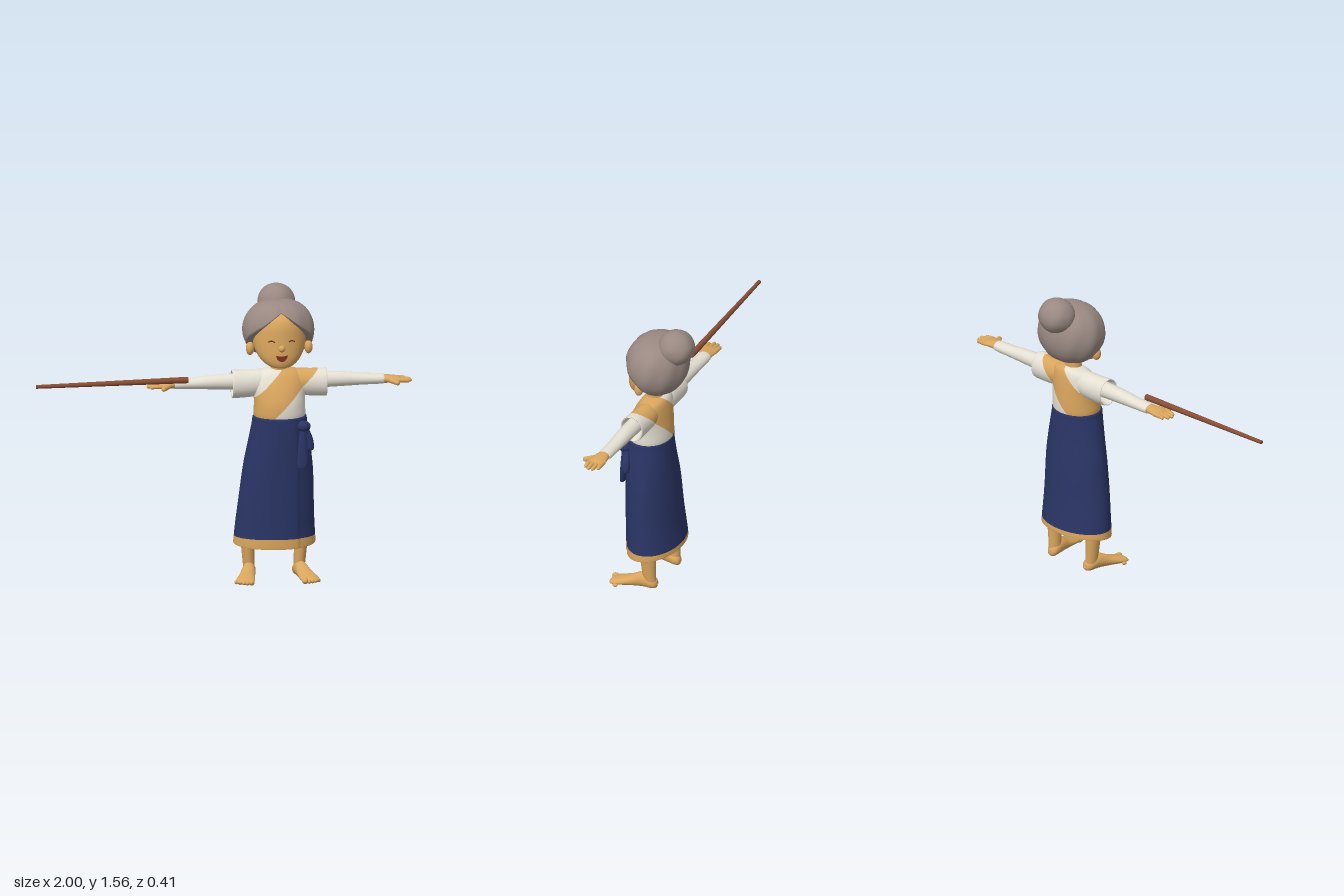
import * as THREE from 'three';

const mat = (name, color) => Object.assign(new THREE.MeshStandardMaterial({ color }), { name });

// Smooth skin over elliptical rings [t, a, b, ra, rb] stacked along an axis.
function loft(rows, axis, { segs = 32, sub = 4, mod } = {}) {
  const fine = [], n = rows.length;
  for (let i = 0; i < n - 1; i++) {
    const [p, q, r, s] = [rows[Math.max(i - 1, 0)], rows[i], rows[i + 1], rows[Math.min(i + 2, n - 1)]];
    for (let k = 0; k < sub; k++) {
      const t = k / sub;
      fine.push(q.map((v, c) => v + 0.5 * t * (r[c] - p[c] + t * (2 * p[c] - 5 * v + 4 * r[c] - s[c]
        + t * (3 * (v - r[c]) + s[c] - p[c])))));
    }
  }
  fine.push(rows[n - 1]);
  const pos = [], index = [];
  fine.forEach(([t, a, b, ra, rb], i) => {
    for (let j = 0; j < segs; j++) {
      const ang = j / segs * Math.PI * 2, m = mod ? mod(ang, t) : 1;
      const u = a + Math.max(ra, 0.0005) * m * Math.cos(ang), v = b + Math.max(rb, 0.0005) * m * Math.sin(ang);
      pos.push(...(axis === 'y' ? [u, t, v] : axis === 'x' ? [t, u, v] : [u, v, t]));
      if (i === fine.length - 1) continue;
      const A = i * segs + j, B = i * segs + (j + 1) % segs, C = A + segs, D = B + segs;
      index.push(...(axis === 'y' ? [A, D, B, A, C, D] : [A, B, D, A, D, C]));
    }
  });
  return build(pos, index);
}

function build(pos, index) {
  const g = new THREE.BufferGeometry();
  g.setAttribute('position', new THREE.Float32BufferAttribute(pos, 3));
  g.setIndex(index);
  g.computeVertexNormals();
  return g;
}

// Cuts a geometry with the plane n.p = c and returns [below, above].
function split(geo, n, c) {
  const g = geo.index ? geo.toNonIndexed() : geo, P = g.attributes.position, N = g.attributes.normal;
  return [-1, 1].map((side) => {
    const pos = [], nor = [];
    for (let i = 0; i < P.count; i += 3) {
      const tri = [0, 1, 2].map((k) => {
        const p = new THREE.Vector3().fromBufferAttribute(P, i + k);
        return { p, n: new THREE.Vector3().fromBufferAttribute(N, i + k), d: side * (p.dot(n) - c) };
      });
      const poly = [];
      tri.forEach((a, k) => {
        const b = tri[(k + 1) % 3];
        if (a.d >= 0) poly.push(a);
        if ((a.d >= 0) !== (b.d >= 0)) {
          const t = a.d / (a.d - b.d);
          poly.push({ p: a.p.clone().lerp(b.p, t), n: a.n.clone().lerp(b.n, t) });
        }
      });
      for (let k = 1; k < poly.length - 1; k++)
        for (const v of [poly[0], poly[k], poly[k + 1]]) { pos.push(...v.p); nor.push(...v.n); }
    }
    const out = new THREE.BufferGeometry();
    out.setAttribute('position', new THREE.Float32BufferAttribute(pos, 3));
    out.setAttribute('normal', new THREE.Float32BufferAttribute(nor, 3));
    return out;
  });
}

// Mirrored copy across x = 0 with its winding put right.
function mirror(geo) {
  const g = geo.clone().scale(-1, 1, 1), ix = g.index.array;
  for (let i = 0; i < ix.length; i += 3) [ix[i], ix[i + 1]] = [ix[i + 1], ix[i]];
  return g;
}

function rod(a, b, r0, r1, round) {
  const A = new THREE.Vector3(...a), B = new THREE.Vector3(...b), dir = B.clone().sub(A), len = dir.length();
  const g = round ? new THREE.CapsuleGeometry(r0, len, 6, 14) : new THREE.CylinderGeometry(r1, r0, len, 14);
  g.applyQuaternion(new THREE.Quaternion().setFromUnitVectors(new THREE.Vector3(0, 1, 0), dir.normalize()));
  return g.translate(...A.add(B).multiplyScalar(0.5));
}

const ball = (x, y, z, rx, ry, rz) => new THREE.SphereGeometry(1, 28, 18).scale(rx, ry, rz).translate(x, y, z);

// Hair dome whose lower edge follows a hairline: [degrees from front, height].
function hairDome() {
  const line = [[0, 1.452], [12, 1.43], [30, 1.385], [60, 1.32], [78, 1.275], [100, 1.22], [125, 1.19], [181, 1.186]];
  const segs = 72, rows = 18, pos = [], index = [];
  for (let i = 0; i <= rows + 1; i++) for (let j = 0; j < segs; j++) {
    const az = (j / segs * 2 - 1) * Math.PI, deg = Math.abs(az) * 180 / Math.PI;
    const k = line.findIndex((l) => l[0] > deg), [d0, y0] = line[k - 1], [d1, y1] = line[k];
    const low = y0 + (y1 - y0) * (deg - d0) / (d1 - d0);
    const th = Math.acos((low - 1.34) / 0.16) * Math.min(i / rows, 1);
    let r = Math.pow(Math.sin(th), 0.75) * (1 + 0.012 * Math.sin(az * 9 + th * 3));
    r *= 1 - 0.06 * Math.exp(-((az / 0.12) ** 2));
    if (i > rows) r *= 0.75;
    pos.push(0.19 * r * Math.sin(az), 1.34 + 0.16 * Math.cos(th), (Math.cos(az) > 0 ? 0.168 : 0.16) * r * Math.cos(az));
    if (i > rows) continue;
    const A = i * segs + j, B = i * segs + (j + 1) % segs;
    index.push(A, A + segs, B + segs, A, B + segs, B);
  }
  return build(pos, index);
}

export function createModel() {
  const skin = mat('skin and sash tan', 0xd9a55d), white = mat('blouse white', 0xe4dfd2), navy = mat('skirt navy', 0x2a3565);
  const grey = mat('hair grey', 0x9a8982), wood = mat('stick wood', 0x884d34);
  const red = mat('mouth red', 0x7d3022), dark = mat('eye brown', 0x5a3a20);
  const model = new THREE.Group(), upper = new THREE.Group(), feet = new THREE.Group();
  upper.name = 'upperBody'; upper.position.x = 0.297;
  feet.name = 'legs'; feet.position.x = 0.274;
  model.add(upper, feet);
  const add = (parent, name, geo, m) => {
    const mesh = new THREE.Mesh(geo, m);
    mesh.name = name;
    parent.add(mesh);
  };
  const pair = (parent, name, geo, m) => {
    add(parent, name + 'Left', geo, m);
    add(parent, name + 'Right', mirror(geo), m);
  };

  // Head and face
  add(upper, 'head', loft([[1.155, 0, 0.105, 0.001, 0.001], [1.159, 0, 0.105, 0.04, 0.035], [1.175, 0, 0.09, 0.077, 0.062],
    [1.21, 0, 0.062, 0.112, 0.095], [1.26, 0, 0.03, 0.135, 0.125], [1.32, 0, 0.01, 0.144, 0.14], [1.38, 0, 0, 0.138, 0.142],
    [1.43, 0, 0, 0.11, 0.113], [1.475, 0, 0, 0.03, 0.03]], 'y', { segs: 48 }), skin);
  add(upper, 'neck', loft([[1.085, 0, 0.028, 0.06, 0.055], [1.13, 0, 0.02, 0.045, 0.042], [1.24, 0, 0.02, 0.04, 0.04]], 'y'), skin);
  add(upper, 'nose', ball(0, 1.268, 0.153, 0.018, 0.018, 0.021), skin);
  pair(upper, 'ear', ball(0.155, 1.248, 0.033, 0.022, 0.036, 0.024), skin);
  const lid = new THREE.CatmullRomCurve3([[0.036, 1.302, 0.147], [0.053, 1.309, 0.142], [0.07, 1.302, 0.134]].map((p) => new THREE.Vector3(...p)));
  pair(upper, 'closedEye', new THREE.TubeGeometry(lid, 10, 0.0035, 6), dark);
  const grin = new THREE.Shape();
  grin.moveTo(-0.031, 1.232);
  grin.quadraticCurveTo(0, 1.224, 0.031, 1.232);
  grin.bezierCurveTo(0.026, 1.188, -0.026, 1.188, -0.031, 1.232);
  add(upper, 'mouth', new THREE.ExtrudeGeometry(grin, { depth: 0.009, bevelEnabled: false }).translate(0, 0, 0.1505), red);

  // Hair and bun
  add(upper, 'hair', hairDome(), grey);
  add(upper, 'bun', loft([0, 20, 45, 70, 90, 110, 135, 160, 180].map((d) => {
    const t = d * Math.PI / 180, s = Math.sin(t);
    return [1.468 - 0.095 * Math.cos(t), 0, -0.108, 0.099 * s, 0.097 * s];
  }), 'y', { segs: 40, mod: (a, t) => 1 + 0.014 * Math.sin(5 * a + 30 * t) }), grey);

  // Blouse: the sash is the diagonal strip between two cutting planes
  const slant = new THREE.Vector3(1, -1, 0), off = 0.297;
  const banded = (name, geo) => {
    const [rest, below] = split(geo, slant, -0.626 - off), [above, sash] = split(rest, slant, -0.824 - off);
    add(upper, name + 'LeftSide', below, white);
    add(upper, name + 'RightSide', above, white);
    add(upper, name + 'Sash', sash, skin);
  };
  banded('blouse', loft([[0.87, 0, 0.042, 0.133, 0.112], [0.9, 0, 0.042, 0.137, 0.116], [0.95, 0, 0.041, 0.135, 0.114],
    [1, 0, 0.036, 0.136, 0.105], [1.05, 0, 0.028, 0.14, 0.092], [1.1, 0, 0.018, 0.13, 0.074], [1.128, 0, 0.012, 0.095, 0.055],
    [1.14, 0, 0.012, 0.03, 0.03]], 'y', { segs: 48 }));
  const sleeve = loft([[0.03, 1.07, 0.015, 0.05, 0.05], [0.1, 1.06, 0.016, 0.07, 0.062], [0.17, 1.055, 0.02, 0.073, 0.064],
    [0.244, 1.055, 0.024, 0.075, 0.066], [0.247, 1.055, 0.024, 0.07, 0.061], [0.24, 1.055, 0.024, 0.066, 0.057],
    [0.16, 1.06, 0.02, 0.04, 0.04]], 'x', { sub: 3 });
  banded('leftSleeve', sleeve);
  add(upper, 'rightSleeve', mirror(sleeve), white);

  // Arms and hands
  pair(upper, 'arm', loft([[0.14, 1.066, 0.02, 0.045, 0.044], [0.25, 1.067, 0.021, 0.042, 0.043], [0.35, 1.067, 0.021, 0.038, 0.041],
    [0.45, 1.064, 0.021, 0.031, 0.038], [0.548, 1.063, 0.022, 0.027, 0.037], [0.551, 1.063, 0.022, 0.02, 0.028]], 'x'), white);
  pair(upper, 'palm', loft([[0.53, 1.063, 0.022, 0.022, 0.03], [0.56, 1.063, 0.025, 0.023, 0.034], [0.6, 1.062, 0.03, 0.019, 0.045],
    [0.635, 1.06, 0.031, 0.015, 0.046], [0.65, 1.058, 0.031, 0.004, 0.03]], 'x'), skin);
  [0.682, 0.7, 0.704, 0.69].forEach((tip, i) => {
    const z = -0.004 + 0.023 * i;
    pair(upper, 'finger' + (i + 1), loft([[0.61, 1.06, z, 0.013, 0.013], [0.66, 1.059, z, 0.011, 0.0115],
      [tip - 0.008, 1.056, z, 0.009, 0.009], [tip, 1.055, z, 0.001, 0.001]], 'x', { segs: 14 }), skin);
  });
  pair(upper, 'thumb', rod([0.58, 1.06, 0.05], [0.62, 1.054, 0.1], 0.013, 0.013, true), skin);

  // Walking stick resting on the right hand
  add(model, 'stick', rod([-0.19, 1.093, 0.066], [-1, 1.086, 0.1], 0.017, 0.01), wood);

  // Wrapped skirt with an overlapping front fold; its hem is cut off at a level line
  const skirt = loft([[0.205, 0.273, 0.018, 0.001, 0.001], [0.205, 0.273, 0.018, 0.2, 0.126], [0.197, 0.273, 0.018, 0.213, 0.138],
    [0.206, 0.273, 0.018, 0.217, 0.142], [0.3, 0.275, 0.022, 0.21, 0.137], [0.4, 0.279, 0.027, 0.202, 0.134], [0.6, 0.288, 0.034, 0.186, 0.129],
    [0.75, 0.295, 0.042, 0.163, 0.124], [0.85, 0.297, 0.046, 0.146, 0.121], [0.88, 0.297, 0.046, 0.143, 0.12],
    [0.887, 0.297, 0.046, 0.135, 0.113], [0.875, 0.297, 0.046, 0.11, 0.09]], 'y', {
    segs: 96, sub: 5,
    mod: (a, t) => 1 + 0.008 * Math.sin(3 * a + 14 * t) * Math.min(1, t)
      + (a > 1.0 && a < 1.6 ? 0.045 * (1.6 - a) / 0.6 : 0) * (t > 0.85 ? 0.3 : 1),
  });
  const sp = skirt.attributes.position;
  for (let i = 0; i < sp.count; i++)
    sp.setY(i, sp.getY(i) - (sp.getZ(i) - 0.018) * 0.1 * THREE.MathUtils.clamp((0.4 - sp.getY(i)) / 0.2, 0, 1));
  skirt.computeVertexNormals();
  const [hem, cloth] = split(skirt, new THREE.Vector3(0, 1, 0), 0.235);
  add(model, 'skirtHem', hem, skin);
  add(model, 'skirt', cloth, navy);

  // Waist knot with two hanging tails
  add(model, 'knot', ball(0.415, 0.842, 0.135, 0.036, 0.03, 0.032), navy);
  add(model, 'frontTail', loft([[0.615, 0.405, 0.152, 0.004, 0.004], [0.625, 0.405, 0.152, 0.026, 0.012], [0.7, 0.408, 0.148, 0.028, 0.014],
    [0.79, 0.41, 0.142, 0.02, 0.014], [0.845, 0.412, 0.138, 0.012, 0.012]], 'y'), navy);
  add(model, 'sideTail', loft([[0.705, 0.45, 0.113, 0.004, 0.004], [0.715, 0.45, 0.113, 0.021, 0.022], [0.77, 0.446, 0.114, 0.02, 0.022],
    [0.84, 0.425, 0.125, 0.012, 0.014]], 'y'), navy);

  // Legs, feet and toes
  pair(feet, 'leg', loft([[0.02, 0.132, -0.012, 0.028, 0.034], [0.08, 0.135, -0.006, 0.031, 0.037], [0.15, 0.139, -0.003, 0.034, 0.041],
    [0.23, 0.142, 0, 0.039, 0.046], [0.3, 0.142, 0.005, 0.042, 0.05]], 'y'), skin);
  pair(feet, 'foot', loft([[-0.05, 0.128, 0.026, 0.004, 0.004], [-0.046, 0.128, 0.028, 0.02, 0.02], [-0.025, 0.13, 0.035, 0.033, 0.033],
    [0.03, 0.138, 0.045, 0.036, 0.043], [0.09, 0.153, 0.032, 0.042, 0.03], [0.145, 0.168, 0.023, 0.05, 0.021],
    [0.18, 0.175, 0.019, 0.046, 0.016], [0.195, 0.178, 0.016, 0.025, 0.008]], 'z'), skin);
  for (let i = 0; i < 5; i++) {
    const r = i ? 0.0125 - i * 0.0006 : 0.0165;
    pair(feet, 'toe' + (i + 1), ball(0.142 + i * 0.0185 + (i ? 0.003 : 0), r + 0.001, 0.188 - i * i * 0.0022, r, r, r * 1.35), skin);
  }
  return model;
}
